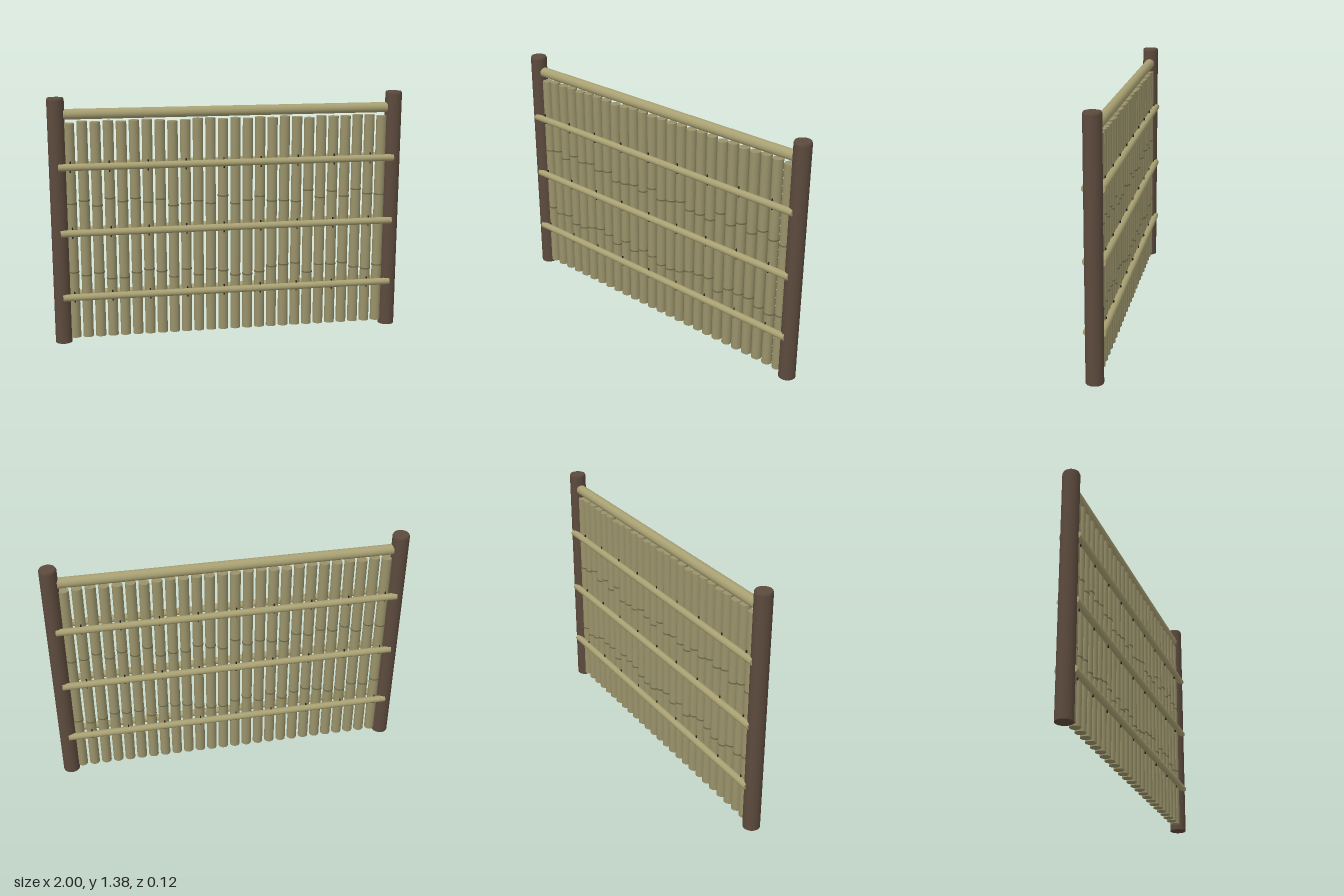
import * as THREE from 'three';

const mat = (color) => new THREE.MeshStandardMaterial({ color });

export function createModel() {
  const fence = new THREE.Group();
  fence.name = 'bambooFence';
  const wood = mat(0x5c4a3d), rail = mat(0xa8a072), cane = mat(0x99926a);
  const joint = mat(0x6f6a4a), cord = mat(0x2a211b);

  const add = (parent, name, geometry, material, x, y, z) => {
    const mesh = new THREE.Mesh(geometry, material);
    mesh.name = name;
    mesh.position.set(x, y, z);
    parent.add(mesh);
    return mesh;
  };
  const rod = (r, h, sides = 20) => new THREE.CylinderGeometry(r, r, h, sides);

  // End posts with a slightly inset cap
  for (const [side, name] of [[1, 'leftPost'], [-1, 'rightPost']]) {
    const post = new THREE.Group();
    post.name = name;
    post.position.x = side * 0.953;
    fence.add(post);
    add(post, 'postShaft', rod(0.047, 1.375, 28), wood, 0, 0.6875, 0);
    add(post, 'postCap', new THREE.CylinderGeometry(0.043, 0.047, 0.01, 28), wood, 0, 1.38, 0);
  }

  // Top rail
  add(fence, 'topRail', rod(0.029, 1.826), rail, 0, 1.294, 0).rotation.z = Math.PI / 2;

  // Upright canes: heights and ring joints in thousandths, from -x to +x
  const tops = [1245, 1255, 1250, 1255, 1250, 1255, 1257, 1252, 1245, 1250, 1257, 1257, 1250,
    1255, 1250, 1255, 1250, 1257, 1252, 1245, 1254, 1250, 1250, 1255, 1253, 1246];
  const upper = [800, 815, 785, 825, 805, 820, 795, 810, 770, 778, 793, 775, 815,
    768, 785, 805, 775, 775, 767, 830, 785, 820, 787, 825, 797, 790];
  const lower = [408, 388, 400, 363, 365, 390, 405, 390, 355, 397, 360, 390, 377,
    347, 347, 360, 388, 395, 402, 343, 386, 384, 390, 360, 346, 365];
  const base = 0.025, pitch = 0.0708, caneRadius = 0.029;
  const ringGeometry = rod(caneRadius + 0.0015, 0.008);
  const caneX = (i) => (i - (tops.length - 1) / 2) * pitch;
  tops.forEach((t, i) => {
    const h = t / 1000 - base;
    add(fence, 'cane', rod(caneRadius, h), cane, caneX(i), base + h / 2, 0);
    for (const y of [lower[i], upper[i]]) {
      add(fence, 'caneJoint', ringGeometry, joint, caneX(i), y / 1000, 0);
    }
  });

  // Paired cross rails front and back, lashed to every third cane
  const railGeometry = rod(0.0195, 1.9);
  const tieGeometry = rod(0.004, 0.062, 8);
  for (const y of [0.268, 0.638, 1.008]) {
    for (const side of [1, -1]) {
      add(fence, side > 0 ? 'frontRail' : 'backRail', railGeometry, rail, 0, y, side * 0.04)
        .rotation.z = Math.PI / 2;
      for (let i = 0; i < tops.length; i += 3) {
        add(fence, 'tie', tieGeometry, cord, caneX(i), y, side * 0.034);
      }
    }
  }
  return fence;
}
